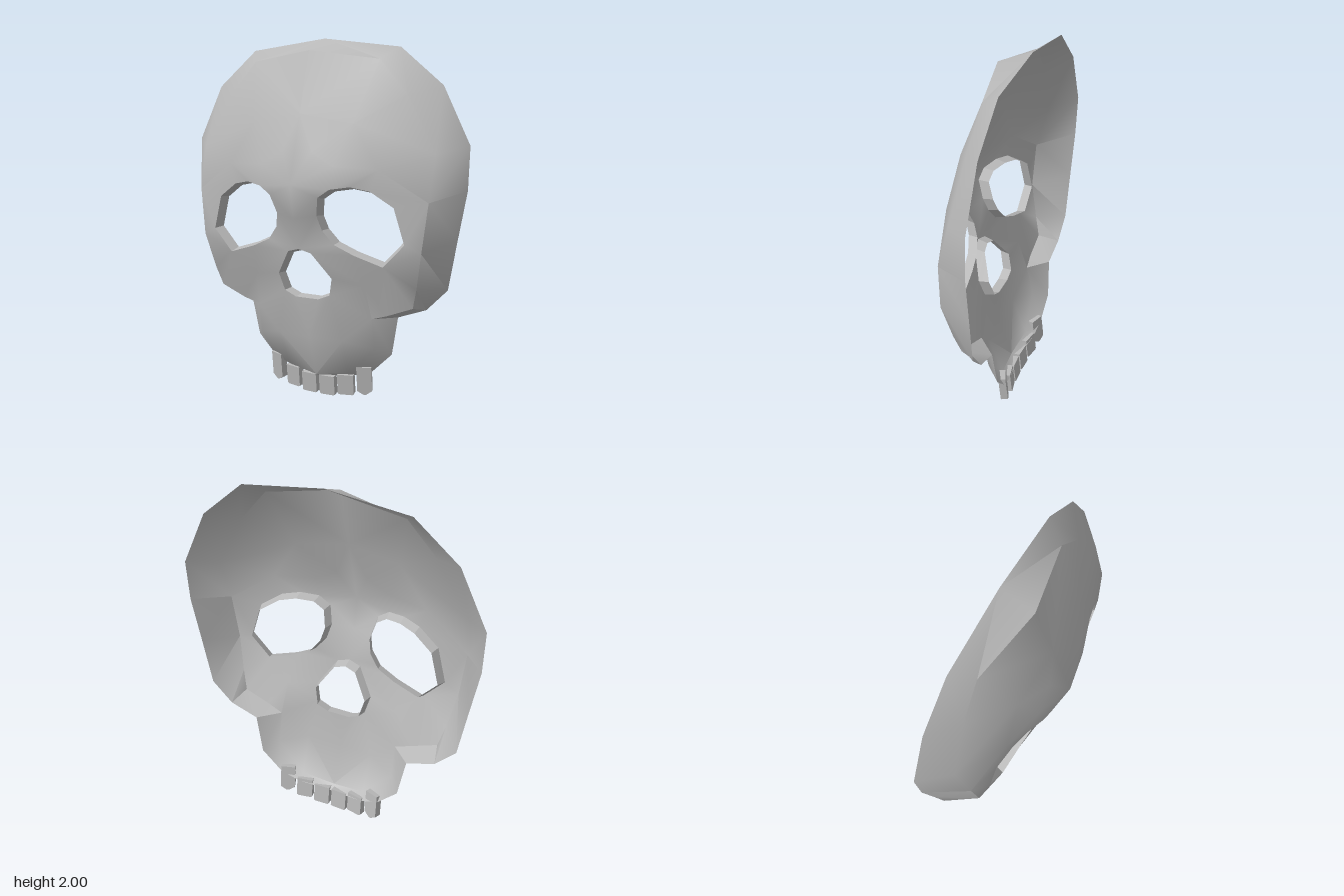
import * as THREE from 'three';
import { toCreasedNormals } from 'three/addons/utils/BufferGeometryUtils.js';

// Control points of the left half of the face, grouped by region
const P = {};
const add = (prefix, list) => list.forEach((p, i) => { P[prefix + i] = p; });
// outer edge, crown to jaw
add('o', [[0, 2, -0.19], [0.45, 1.945, -0.19], [0.69, 1.745, -0.19], [0.84, 1.44, -0.19], [0.835, 1.21, -0.185],
  [0.79, 0.95, -0.18], [0.745, 0.68, -0.175], [0.63, 0.56, -0.17], [0.47, 0.5, -0.165], [0.43, 0.28, -0.18], [0.31, 0.16, -0.175]]);
// upper forehead, brow
add('f', [[0, 1.93, -0.01], [0.38, 1.88, -0.085], [0.54, 1.7, -0.075], [0.71, 1.4, -0.05]]);
add('g', [[0, 1.6, 0.087], [0.22, 1.33, 0.135], [0.3, 1.55, 0.065], [0.09, 1.4, 0.125], [0.45, 1.32, 0.08]]);
// temple, nose bridge
add('t', [[0.7, 1.16, 0.015]]);
add('n', [[0, 1.23, 0.195], [0, 1.05, 0.16]]);
// eye socket loop
add('e', [[0.21, 1.215, 0.155], [0.31, 1.23, 0.12], [0.41, 1.21, 0.09], [0.53, 1.13, 0.06], [0.585, 0.94, 0.045],
  [0.47, 0.815, 0.05], [0.31, 0.865, 0.065], [0.2, 0.915, 0.08], [0.14, 0.99, 0.1], [0.12, 1.07, 0.125], [0.145, 1.17, 0.16]]);
// nose opening, half loop
add('q', [[0, 0.88, 0.105], [0.07, 0.86, 0.095], [0.165, 0.72, 0.035], [0.14, 0.62, 0.01], [0.07, 0.59, 0.01], [0, 0.59, 0.01]]);
// cheek, upper jaw
add('k', [[0.67, 0.9, 0.025], [0.63, 0.7, -0.02], [0.6, 0.59, -0.05], [0.45, 0.53, -0.05]]);
add('p', [[0.34, 0.69, -0.01], [0.36, 0.5, -0.06]]);
add('m', [[0, 0.36, -0.015], [0.2, 0.36, -0.03], [0.36, 0.32, -0.1]]);
// lip
add('c', [[0, 0.12, -0.1], [0.19, 0.15, -0.12]]);
add('b', [[0, 0.1, -0.14], [0.2, 0.125, -0.17]]);

// Patches between the control points
const PATCHES = [
  'o0 f0 f1 o1', 'o1 f1 f2 o2', 'o2 f2 f3 o3', 'o3 f3 t0 o4',
  'f0 f1 g2 g0', 'f1 f2 g2', 'f2 f3 g2', 'g2 f3 g4', 'f3 t0 g4',
  'g0 g2 g3', 'g0 g3 n0', 'g3 g2 g1', 'g2 g4 g1', 'n0 g3 g1', 'n0 g1 e0', 'n0 e0 e10', 'n0 e10 n1', 'n1 e10 e9',
  'g1 g4 e2 e1 e0', 'g4 t0 e3 e2', 't0 e3 e4 k0', 't0 k0 o5 o4', 'k0 k1 o6 o5', 'k1 k2 o7 o6', 'k2 k3 o8 o7',
  'e4 e5 k0', 'e5 k1 k0', 'e5 e6 p0', 'e5 p0 k3 k2 k1',
  'n1 e9 e8 e7 q1 q0', 'e7 e6 p0 q2 q1', 'q2 p0 p1 q3', 'p0 k3 p1', 'k3 o8 o9 m2 p1',
  'q3 p1 m2 m1', 'q5 q4 q3 m1 m0', 'm0 m1 c1 c0', 'm1 m2 o10 c1', 'm2 o9 o10', 'c0 c1 b1 b0', 'c1 o10 b1',
];

const flip = ([x, y, z]) => [-x, y, z];

function creased(positions, angle) {
  const geo = new THREE.BufferGeometry();
  geo.setAttribute('position', new THREE.Float32BufferAttribute(positions, 3));
  return toCreasedNormals(geo, angle);
}

// Triangulates every patch, facing forward, and mirrors it
function faceGeometry() {
  const out = [];
  for (const patch of PATCHES) {
    const pts = patch.split(' ').map((key) => P[key]);
    const flat = pts.map(([x, y]) => new THREE.Vector2(x, y));
    for (const tri of THREE.ShapeUtils.triangulateShape(flat, [])) {
      let [a, b, c] = tri.map((i) => pts[i]);
      const area = (b[0] - a[0]) * (c[1] - a[1]) - (c[0] - a[0]) * (b[1] - a[1]);
      if (area < 0) [b, c] = [c, b];
      out.push(...a, ...b, ...c, ...flip(a), ...flip(c), ...flip(b));
    }
  }
  return creased(out, 0.75);
}

// Wall running backward from an opening, narrowing slightly
function rimGeometry(loop, depth) {
  const n = loop.length;
  const cx = loop.reduce((s, p) => s + p[0], 0) / n;
  const cy = loop.reduce((s, p) => s + p[1], 0) / n;
  const back = loop.map(([x, y, z]) => [cx + (x - cx) * 0.92, cy + (y - cy) * 0.92, z - depth]);
  const out = [];
  for (let i = 0; i < n; i++) {
    const j = (i + 1) % n;
    out.push(...loop[i], ...loop[j], ...back[i], ...loop[j], ...back[j], ...back[i]);
  }
  return creased(out, 0.3);
}

export function createModel() {
  const group = new THREE.Group();
  const bone = new THREE.MeshStandardMaterial({ color: 0xb8b8b8, side: THREE.DoubleSide });
  bone.name = 'bone grey';
  const part = (name, geo) => {
    const mesh = new THREE.Mesh(geo, bone);
    mesh.name = name;
    group.add(mesh);
    return mesh;
  };

  part('faceShell', faceGeometry());

  // Eye and nose rims
  const eye = Array.from({ length: 11 }, (_, i) => P['e' + i]);
  part('leftEyeRim', rimGeometry(eye, 0.055));
  part('rightEyeRim', rimGeometry(eye.map(flip).reverse(), 0.055));
  const nose = Array.from({ length: 6 }, (_, i) => P['q' + i]);
  part('noseRim', rimGeometry([...nose, ...nose.slice(1, 5).reverse().map(flip)], 0.055));

  // Teeth: centre x, half width, bottom, top, tip cut, back z, turn
  const teeth = [
    ['frontTooth', 0.055, 0.047, 0.005, 0.12, 0.005, -0.165, 0.05],
    ['sideTooth', 0.162, 0.047, 0.02, 0.14, 0.006, -0.175, 0.2],
    ['cornerTooth', 0.27, 0.042, 0.035, 0.2, 0.024, -0.185, 0.35],
  ];
  for (const [name, x, w, y0, y1, cut, z, turn] of teeth) {
    const shape = new THREE.Shape([[-w, y1], [-w, y0 + cut], [-w + cut * 1.5, y0], [w - cut * 1.5, y0], [w, y0 + cut], [w, y1]]
      .map(([u, v]) => new THREE.Vector2(u, v - y0)));
    const geo = new THREE.ExtrudeGeometry(shape, { depth: 0.04, bevelEnabled: false });
    for (const side of [1, -1]) {
      const tooth = part((side > 0 ? 'left ' : 'right ') + name, geo);
      tooth.position.set(side * x, y0, z);
      tooth.rotation.set(0.12, side * turn, 0);
    }
  }
  return group;
}
